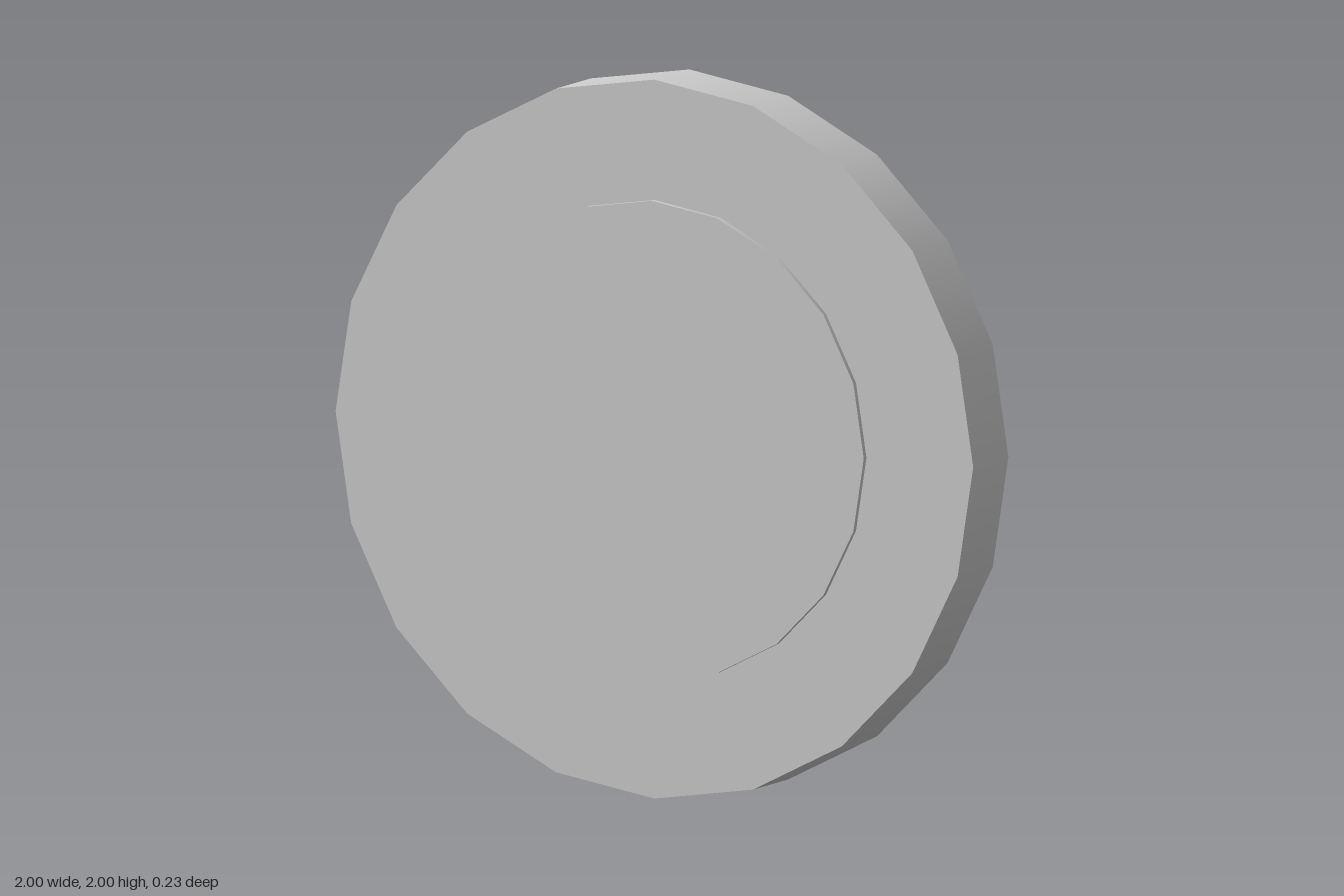
import * as THREE from 'three';

const SIDES = 20;

// Solid disc whose axis runs front to back, centred one unit above the ground
function disc(name, radius, thickness, material) {
  const geometry = new THREE.CylinderGeometry(radius, radius, thickness, SIDES);
  geometry.rotateX(Math.PI / 2);
  const mesh = new THREE.Mesh(geometry, material);
  mesh.name = name;
  mesh.position.y = 1;
  return mesh;
}

export function createModel() {
  const group = new THREE.Group();
  group.name = 'wheel';
  const grey = new THREE.MeshStandardMaterial({ color: 0xcccccc });

  // Wide outer tyre
  group.add(disc('tyre', 1, 0.2, grey));
  // Hub passing through the tyre, standing slightly proud on both faces
  group.add(disc('hub', 0.665, 0.23, grey));

  return group;
}
